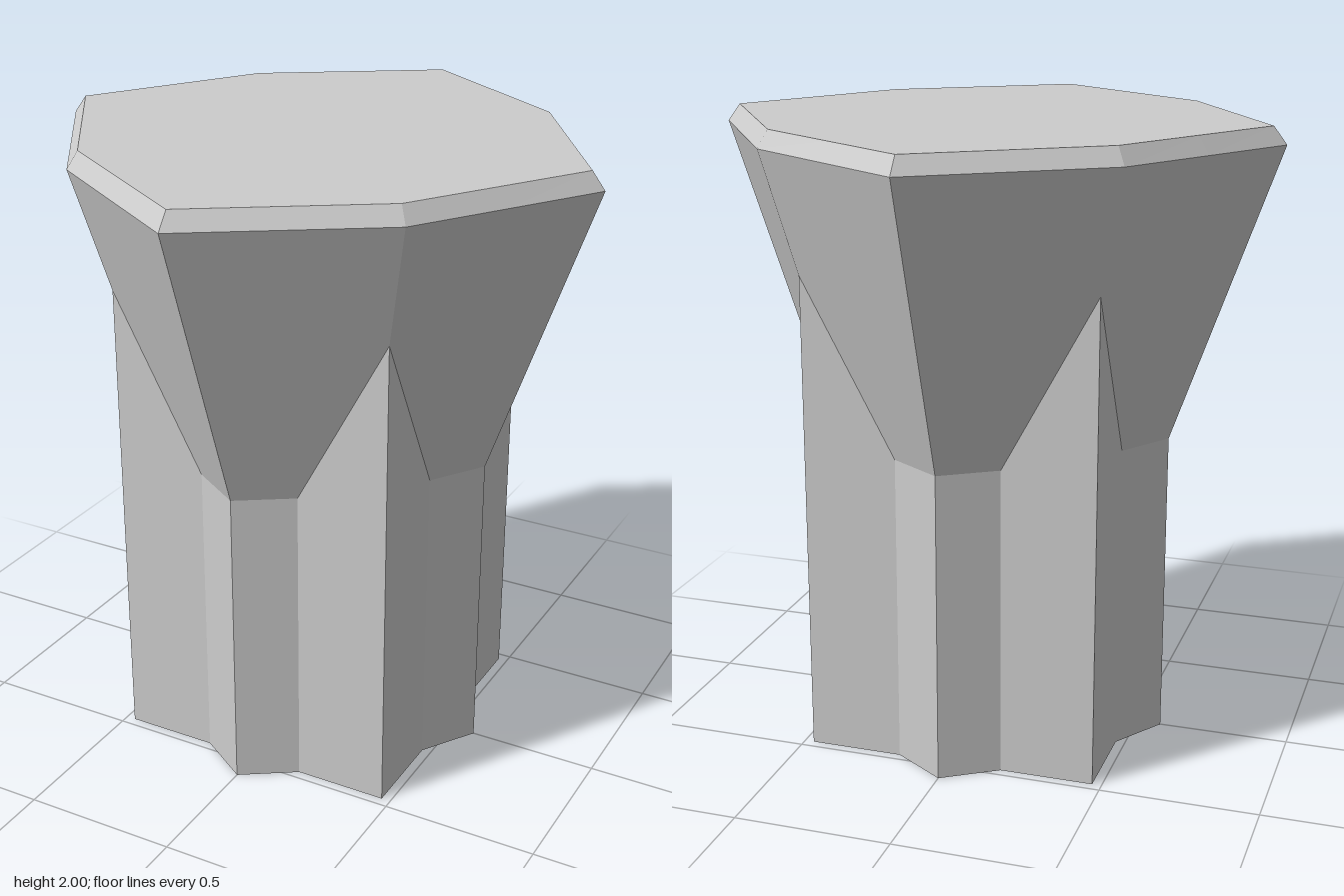
import * as THREE from 'three';

// Ring of 16 points: four quarter turns of axis point, side point, corner, side point.
// Each point is given as [x, y, z] for the quarter starting at +z.
function ring(axis, side, corner) {
  const mirrored = [side[2], side[1], side[0]];
  let quarter = [axis, side, corner, mirrored];
  const points = [];
  for (let q = 0; q < 4; q++) {
    points.push(...quarter);
    quarter = quarter.map(([x, y, z]) => [z, y, -x]);
  }
  return points;
}

// Eight-sided ring whose side points lie midway along the edges
function octagon(a, d, y) {
  return ring([0, y, a], [d / 2, y, (a + d) / 2], [d, y, d]);
}

// Walls between two rings
function walls(lower, upper) {
  const out = [];
  lower.forEach((a, i) => {
    const j = (i + 1) % lower.length;
    out.push(...a, ...lower[j], ...upper[j], ...a, ...upper[j], ...upper[i]);
  });
  return out;
}

// Flat cap, fanned from the centre
function cap(points, up) {
  const out = [];
  points.forEach((a, i) => {
    const b = points[(i + 1) % points.length];
    out.push(0, a[1], 0, ...(up ? a : b), ...(up ? b : a));
  });
  return out;
}

function part(name, positions, material) {
  const geometry = new THREE.BufferGeometry();
  geometry.setAttribute('position', new THREE.Float32BufferAttribute(positions, 3));
  geometry.computeVertexNormals();
  const mesh = new THREE.Mesh(geometry, material);
  mesh.name = name;
  return mesh;
}

export function createModel() {
  const grey = new THREE.MeshStandardMaterial({ color: 0xcccccc });
  grey.name = 'grey';

  // Shaft: a square column merged with a pointed octagon
  const base = ring([0, 0, 0.58], [0.17, 0, 0.47], [0.47, 0, 0.47]);
  // Shaft top: the square corners run up into the flared head
  const neck = ring([0, 1, 0.58], [0.17, 1, 0.47], [0.47, 1.555, 0.47]);
  const rim = octagon(0.912, 0.553, 1.945);
  const top = octagon(0.87, 0.528, 2);

  const group = new THREE.Group();
  group.name = 'column';
  group.add(
    part('shaft', [...walls(base, neck), ...cap(base, false)], grey),
    part('flaredHead', walls(neck, rim), grey),
    part('bevelledTop', [...walls(rim, top), ...cap(top, true)], grey),
  );
  return group;
}
